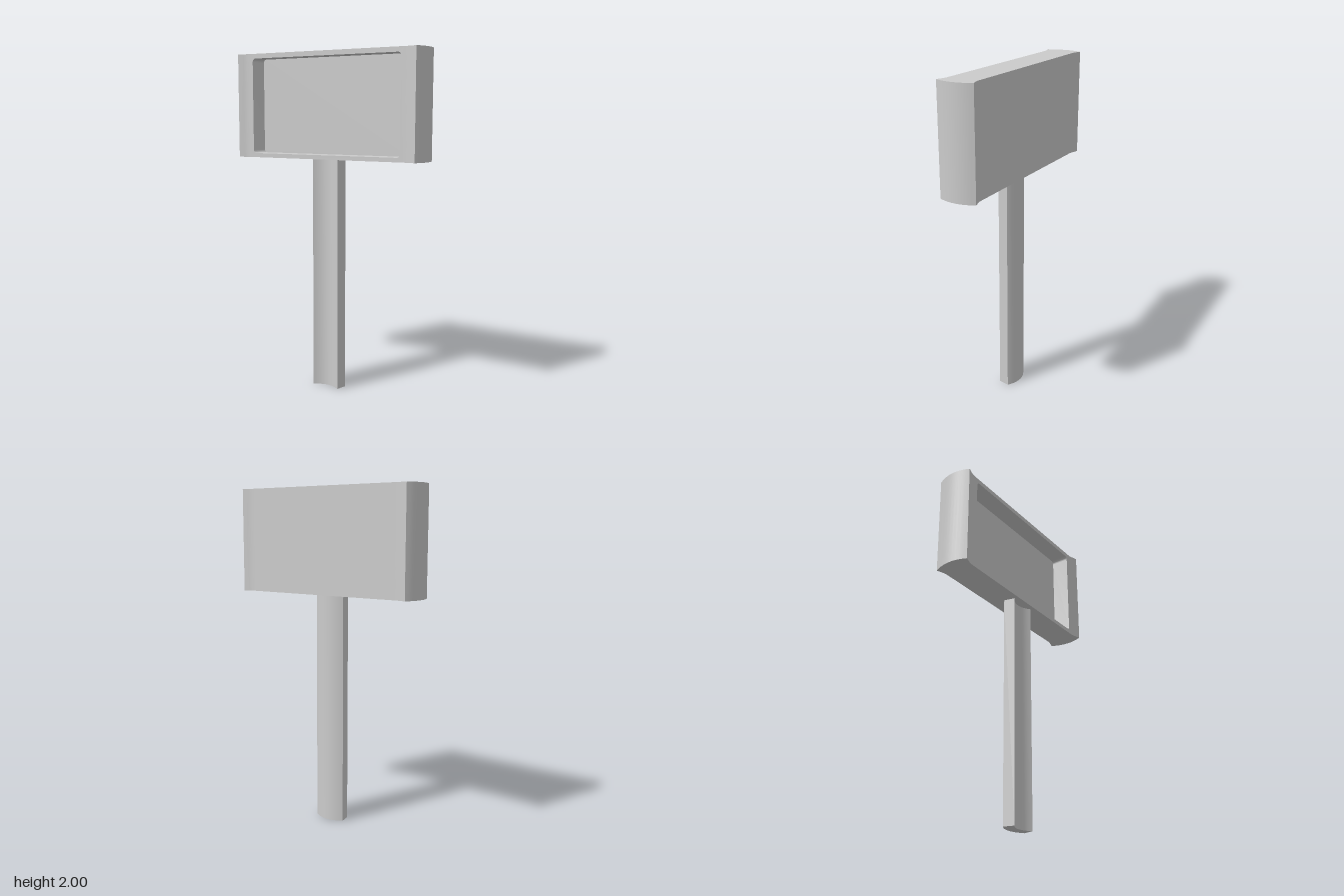
import * as THREE from 'three';
import { mergeGeometries, toCreasedNormals } from 'three/addons/utils/BufferGeometryUtils.js';

const material = new THREE.MeshStandardMaterial({ color: 0xcccccc });

// Uncapped wall: sweeps a 2D path along z, facing the right-hand side of the path
function wall(points, depth) {
  const v = [];
  for (let i = 0; i < points.length - 1; i++) {
    const a = points[i], b = points[i + 1];
    v.push(a.x, a.y, 0, b.x, b.y, 0, b.x, b.y, depth);
    v.push(a.x, a.y, 0, b.x, b.y, depth, a.x, a.y, depth);
  }
  const g = new THREE.BufferGeometry();
  g.setAttribute('position', new THREE.Float32BufferAttribute(v, 3));
  return toCreasedNormals(g, 0.25);
}

function flat(shape) {
  const g = new THREE.ShapeGeometry(shape, 8).toNonIndexed();
  g.deleteAttribute('uv');
  return g;
}

function roundedRect(x, y0, y1, r) {
  const s = new THREE.Shape();
  s.moveTo(-x + r, y0);
  s.lineTo(x - r, y0);
  s.absarc(x - r, y0 + r, r, -Math.PI / 2, 0);
  s.absarc(x - r, y1 - r, r, 0, Math.PI / 2);
  s.absarc(-x + r, y1 - r, r, Math.PI / 2, Math.PI);
  s.absarc(-x + r, y0 + r, r, Math.PI, Math.PI * 1.5);
  return s;
}

function addMesh(parent, name, geometry) {
  const mesh = new THREE.Mesh(geometry, material);
  mesh.name = name;
  parent.add(mesh);
  return mesh;
}

export function createModel() {
  const model = new THREE.Group();
  model.name = 'signPost';
  const bottom = 1.38, top = 2, front = 0.092, floorZ = -0.02, flatX = 0.52;

  // Plan outline of the head, drawn as (x, -z): flared ends with bowed sides
  const plan = new THREE.Shape();
  plan.moveTo(flatX, -front);
  plan.quadraticCurveTo(0.545, -front, 0.565, -0.0995);
  plan.lineTo(0.597, -0.11);
  plan.quadraticCurveTo(0.653, 0, 0.597, 0.11);
  plan.lineTo(0.565, 0.0995);
  plan.quadraticCurveTo(0.545, front, flatX, front);
  plan.lineTo(-flatX, front);
  plan.quadraticCurveTo(-0.545, front, -0.565, 0.0995);
  plan.lineTo(-0.597, 0.11);
  plan.quadraticCurveTo(-0.653, 0, -0.597, -0.11);
  plan.lineTo(-0.565, -0.0995);
  plan.quadraticCurveTo(-0.545, -front, -flatX, -front);

  // Head shell: back and ends, top and bottom
  const upper = flat(plan).translate(0, 0, top - bottom);
  const lower = flat(plan).rotateX(Math.PI); // plan is symmetric front to back
  const shell = mergeGeometries([wall(plan.getPoints(10), top - bottom), upper, lower]);
  shell.rotateX(-Math.PI / 2).translate(0, bottom, 0);
  addMesh(model, 'headShell', shell);

  // Front frame around the recess
  const opening = roundedRect(0.5, 1.405, 1.972, 0.02);
  const frame = new THREE.Shape([
    new THREE.Vector2(-flatX, bottom), new THREE.Vector2(flatX, bottom),
    new THREE.Vector2(flatX, top), new THREE.Vector2(-flatX, top),
  ]);
  frame.holes.push(opening);
  addMesh(model, 'frontFrame', flat(frame)).position.z = front;

  // Recess: inward facing sides and back panel
  const rim = opening.getPoints(8);
  rim.push(rim[0].clone());
  addMesh(model, 'recessSides', wall(rim.reverse(), front - floorZ)).position.z = floorZ;
  addMesh(model, 'recessPanel', flat(opening)).position.z = floorZ;

  // Post: hollowed front, bowed back
  const section = new THREE.Shape();
  section.moveTo(0.085, -0.065);
  section.lineTo(0.1, 0);
  section.quadraticCurveTo(0, 0.07, -0.1, 0);
  section.lineTo(-0.085, -0.065);
  section.quadraticCurveTo(0, 0.002, 0.085, -0.065);
  const post = new THREE.ExtrudeGeometry(section, { depth: bottom, bevelEnabled: false, curveSegments: 16 });
  addMesh(model, 'post', toCreasedNormals(post.rotateX(-Math.PI / 2), 0.25));

  return model;
}
